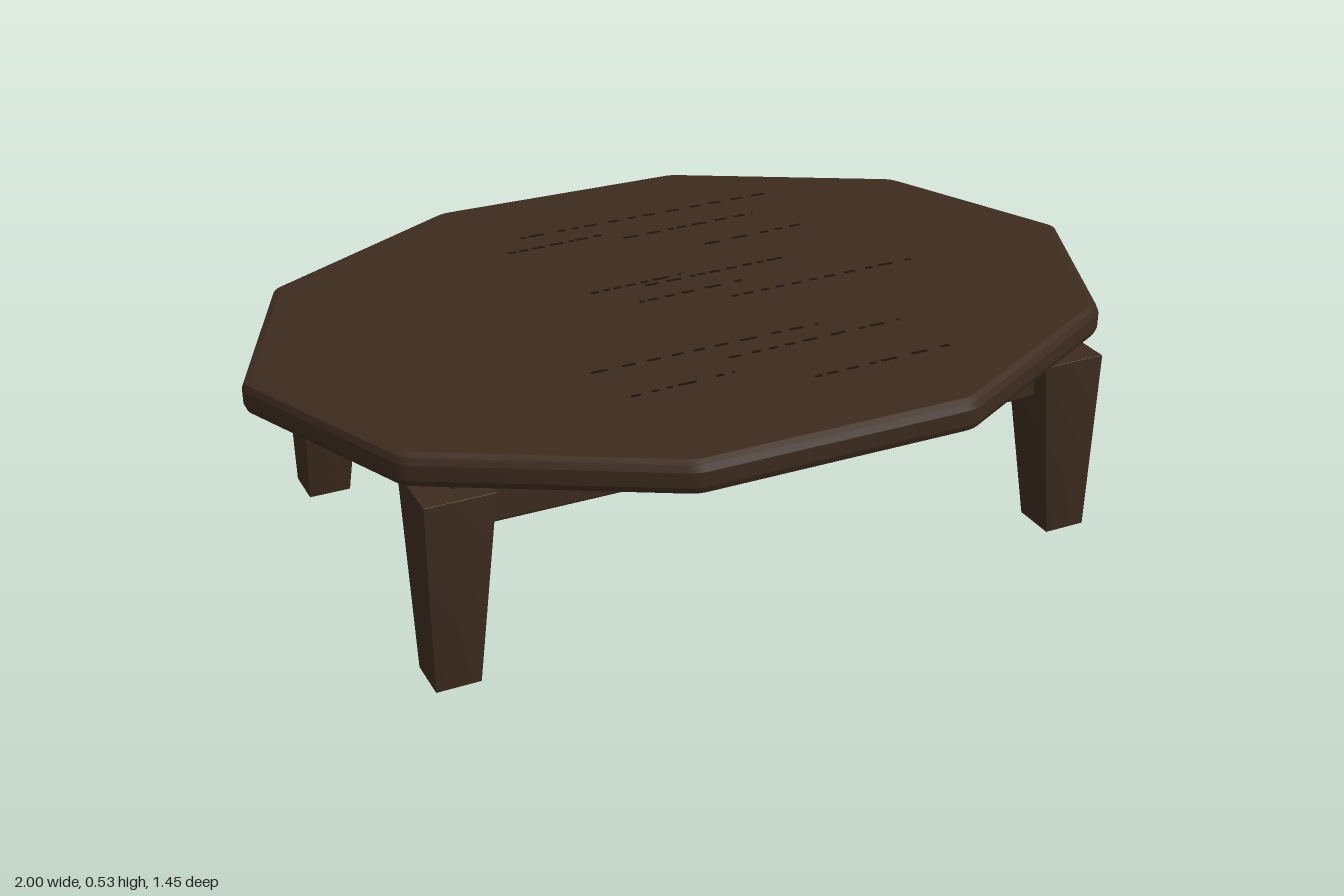
import * as THREE from 'three';
import { toCreasedNormals } from 'three/addons/utils/BufferGeometryUtils.js';
import { RoundedBoxGeometry } from 'three/addons/geometries/RoundedBoxGeometry.js';

const wood = new THREE.MeshStandardMaterial({ name: 'darkWood', color: 0x3d2b1f });
const grainDark = new THREE.MeshStandardMaterial({ name: 'grainDark', color: 0x1e140e });

const TOP_Y = 0.524, TOP_THICK = 0.073;
const LEG_X = 0.713, LEG_Z = 0.4225;

function addMesh(parent, name, geometry, material, x = 0, y = 0, z = 0) {
  const mesh = new THREE.Mesh(geometry, material);
  mesh.name = name;
  mesh.position.set(x, y, z);
  parent.add(mesh);
  return mesh;
}

// Stretched decagon with softened corners and a rounded rim
function tabletopGeometry() {
  const points = [];
  for (let i = 0; i < 10; i++) {
    const a = (i / 10) * Math.PI * 2;
    points.push(new THREE.Vector2(Math.cos(a) * 1.003, Math.sin(a) * 0.76));
  }
  const shape = new THREE.Shape();
  points.forEach((p, i) => {
    const toward = (q) => q.clone().sub(p).setLength(0.02).add(p);
    const start = toward(points[(i + 9) % 10]);
    const end = toward(points[(i + 1) % 10]);
    if (i === 0) shape.moveTo(start.x, start.y);
    else shape.lineTo(start.x, start.y);
    shape.quadraticCurveTo(p.x, p.y, end.x, end.y);
  });
  shape.closePath();
  const bevel = 0.02;
  const geo = new THREE.ExtrudeGeometry(shape, {
    depth: TOP_THICK - 2 * bevel, curveSegments: 3,
    bevelEnabled: true, bevelSize: bevel, bevelThickness: bevel, bevelOffset: -bevel, bevelSegments: 2,
  });
  geo.rotateX(-Math.PI / 2);
  geo.translate(0, bevel, 0);
  return toCreasedNormals(geo, 0.35);
}

// Leg tapered toward its outer corner; signs pick the corner
function legGeometry(sx, sz) {
  const height = 0.43;
  const geo = new RoundedBoxGeometry(1, height, 1, 2, 0.006);
  const pos = geo.attributes.position;
  const span = (v, inner, outer) => inner + (v + 0.5) * (outer - inner);
  for (let i = 0; i < pos.count; i++) {
    const t = pos.getY(i) / height + 0.5;
    const innerX = THREE.MathUtils.lerp(0.686, 0.638, t), outerX = THREE.MathUtils.lerp(0.784, 0.788, t);
    const innerZ = THREE.MathUtils.lerp(0.391, 0.345, t), outerZ = THREE.MathUtils.lerp(0.492, 0.5, t);
    pos.setXYZ(i,
      sx * span(sx * pos.getX(i), innerX, outerX),
      t * height,
      sz * span(sz * pos.getZ(i), innerZ, outerZ));
  }
  return toCreasedNormals(geo, 0.35);
}

// Grain lines: z, first x, last x, share of the line that is marked
const GRAIN = [
  [-0.475, -0.2, 0.46, 0.5], [-0.4, -0.26, -0.02, 0.65], [-0.37, 0.02, 0.37, 0.6],
  [-0.255, 0.18, 0.44, 0.5], [-0.105, -0.18, 0.05, 0.6], [-0.092, -0.05, 0.31, 0.6],
  [-0.015, -0.1, 0.16, 0.5], [0.045, 0.1, 0.57, 0.5], [0.268, -0.34, 0.2, 0.5],
  [0.325, -0.05, 0.37, 0.5], [0.402, -0.31, -0.07, 0.45], [0.482, 0.07, 0.4, 0.5],
];

export function createModel() {
  const table = new THREE.Group();
  table.name = 'coffeeTable';
  addMesh(table, 'tabletop', tabletopGeometry(), wood, 0, TOP_Y - TOP_THICK, 0);

  // Broken grain dashes lying on the top
  const grain = new THREE.Group();
  grain.name = 'woodGrain';
  table.add(grain);
  let seed = 7;
  const rand = () => (seed = (seed * 16807) % 2147483647) / 2147483647;
  for (const [z, x0, x1, fill] of GRAIN) {
    for (let x = x0; x < x1;) {
      const length = Math.min(0.01 + rand() * 0.03, x1 - x);
      const slope = (0.5 - (x - x0) / (x1 - x0)) * 0.012;
      addMesh(grain, 'grainDash', new THREE.BoxGeometry(length, 0.004, 0.006), grainDark,
        x + length / 2, TOP_Y, z + slope);
      x += length / fill;
    }
  }

  // Legs at the four corners
  for (const sx of [-1, 1]) {
    for (const sz of [-1, 1]) {
      const name = (sz > 0 ? 'front' : 'back') + (sx > 0 ? 'Left' : 'Right') + 'Leg';
      addMesh(table, name, legGeometry(sx, sz), wood);
    }
  }

  // Apron rails running between leg centres
  const railHeight = 0.117, railY = 0.393, railThick = 0.06;
  const longRail = new RoundedBoxGeometry(LEG_X * 2, railHeight, railThick, 2, 0.008);
  const shortRail = new RoundedBoxGeometry(railThick, railHeight, LEG_Z * 2, 2, 0.008);
  for (const s of [-1, 1]) {
    addMesh(table, s > 0 ? 'frontRail' : 'backRail', longRail, wood, 0, railY, s * LEG_Z);
    addMesh(table, s > 0 ? 'leftRail' : 'rightRail', shortRail, wood, s * LEG_X, railY, 0);
  }
  return table;
}
